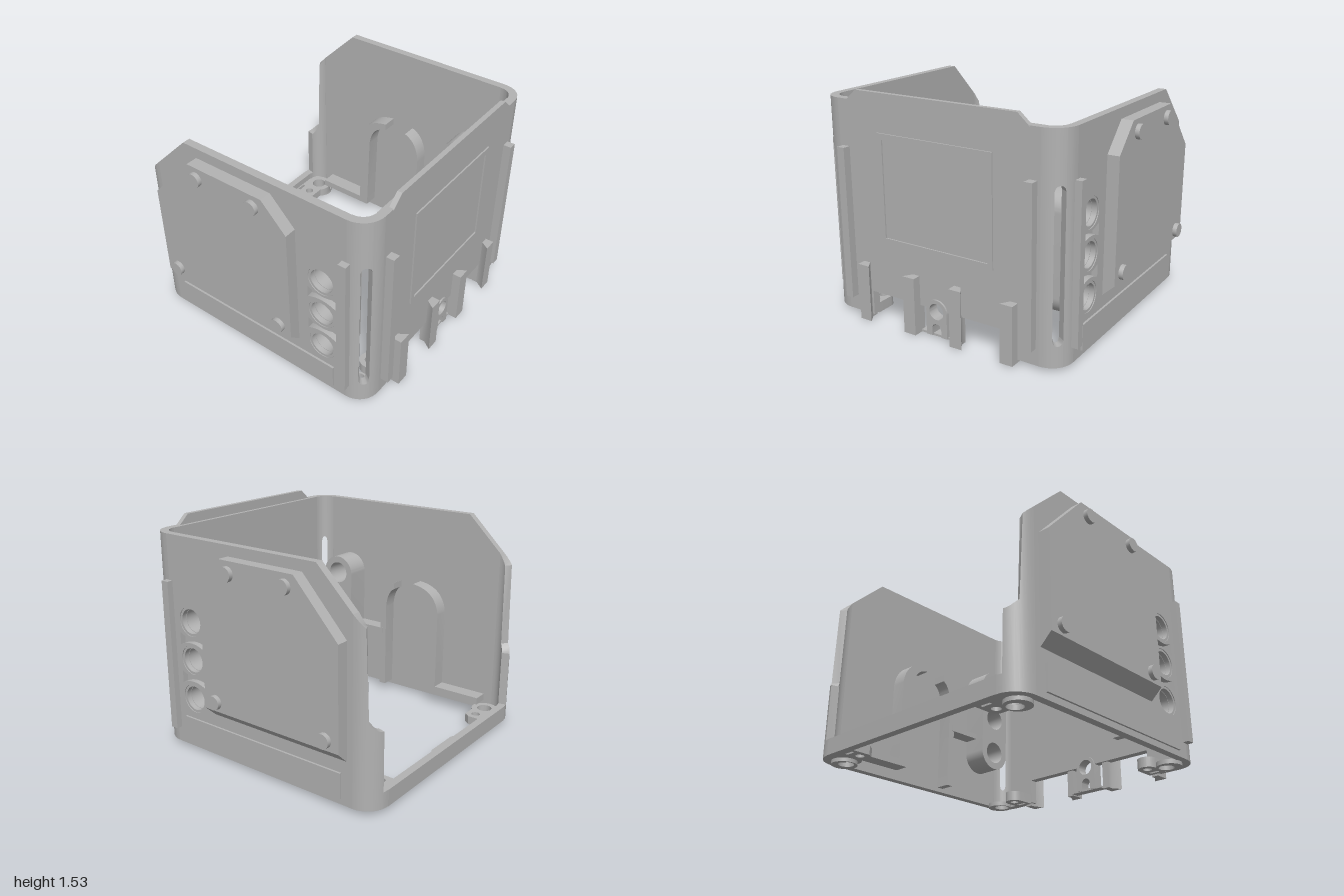
import * as THREE from 'three';
import { mergeVertices, toCreasedNormals } from 'three/addons/utils/BufferGeometryUtils.js';

const grey = new THREE.MeshStandardMaterial({ color: 0xb2b2b2 });
grey.name = 'grey';

const poly = (pts) => new THREE.Shape(pts.map(([x, y]) => new THREE.Vector2(x, y)));
const circle = (x, y, r) => new THREE.Path().absarc(x, y, r, 0, Math.PI * 2, true);
const extrude = (shape, depth) =>
  new THREE.ExtrudeGeometry(shape, { depth, bevelEnabled: false, curveSegments: 20 });

// shape drawn in (x, y), running from z0 to z1
const frontSlab = (shape, z0, z1) => extrude(shape, z1 - z0).translate(0, 0, z0);
// shape drawn in (-z, y), running from x0 to x1
const sideSlab = (shape, x0, x1) => extrude(shape, x1 - x0).rotateY(Math.PI / 2).translate(x0, 0, 0);
// shape drawn in (x, -z), running from y0 to y1
const floorSlab = (shape, y0, y1) => extrude(shape, y1 - y0).rotateX(-Math.PI / 2).translate(0, y0, 0);
const box = (x0, x1, y0, y1, z0, z1) =>
  new THREE.BoxGeometry(x1 - x0, y1 - y0, z1 - z0).translate((x0 + x1) / 2, (y0 + y1) / 2, (z0 + z1) / 2);

// closed curved wall from stations [degrees, bottom, top]; dir is +1 for front, -1 for back
function cornerWall(cz, dir, stations) {
  const pos = [], idx = [], cx = 0.74;
  for (const [deg, y0, y1] of stations) {
    const a = THREE.MathUtils.degToRad(deg);
    for (const [r, y] of [[0.15, y0], [0.15, y1], [0.095, y1], [0.095, y0]])
      pos.push(cx + r * Math.cos(a), y, cz + dir * r * Math.sin(a));
  }
  const quad = (a, b, c, d) => (dir > 0 ? idx.push(a, b, c, a, c, d) : idx.push(a, c, b, a, d, c));
  const n = stations.length - 1;
  for (let i = 0; i < n; i++)
    for (let k = 0; k < 4; k++) {
      const l = (k + 1) % 4;
      quad(i * 4 + k, i * 4 + l, i * 4 + 4 + l, i * 4 + 4 + k);
    }
  quad(3, 2, 1, 0);
  quad(n * 4, n * 4 + 1, n * 4 + 2, n * 4 + 3);
  const g = new THREE.BufferGeometry();
  g.setAttribute('position', new THREE.Float32BufferAttribute(pos, 3));
  g.setIndex(idx);
  return g;
}

function mirrored(geometry) {
  const g = geometry.clone().scale(-1, 1, 1);
  for (const name of ['position', 'normal']) {
    const a = g.attributes[name].array;
    for (let i = 0; i < a.length; i += 9)
      for (let k = 3; k < 6; k++) [a[i + k], a[i + k + 3]] = [a[i + k + 3], a[i + k]];
  }
  return g;
}

export function createModel() {
  const model = new THREE.Group();
  model.name = 'housing';
  const finish = (g) => {
    g.deleteAttribute('uv');
    g.deleteAttribute('normal');
    return toCreasedNormals(mergeVertices(g, 1e-5), 0.6);
  };
  const place = (name, g) => {
    const m = new THREE.Mesh(g, grey);
    m.name = name;
    model.add(m);
  };
  const add = (name, g) => place(name, finish(g));
  const pair = (name, g) => {
    const f = finish(g);
    place('left' + name, f);
    place('right' + name, mirrored(f));
  };

  // front wall with a low cut-out, raised top lip and framed panel
  add('frontWall', frontSlab(poly([
    [-0.74, 0.03], [-0.53, 0.03], [-0.53, 0.2], [-0.055, 0.2], [-0.055, 0.248], [0.055, 0.248],
    [0.055, 0.2], [0.53, 0.2], [0.53, 0.03], [0.74, 0.03], [0.74, 1.475], [-0.74, 1.475]]), 0.803, 0.86));
  add('frontTopLip', frontSlab(poly([
    [-0.67, 1.47], [0.67, 1.47], [0.59, 1.54], [-0.59, 1.54]]), 0.83, 0.863));
  const frame = poly([[-0.425, 0.57], [0.425, 0.57], [0.425, 1.29], [-0.425, 1.29]]);
  frame.holes.push(poly([[-0.39, 0.605], [-0.39, 1.25], [0.39, 1.25], [0.39, 0.605]]));
  add('frontPanelFrame', frontSlab(frame, 0.858, 0.87));

  // arched boss with a round hole and a slot under it
  const boss = poly([[0.035, 0.02], [0.08, 0.02], [0.08, 0.19]]);
  boss.absarc(0, 0.19, 0.08, 0, Math.PI, false);
  boss.lineTo(-0.08, 0.02);
  boss.lineTo(-0.035, 0.02);
  boss.lineTo(-0.035, 0.07);
  boss.absarc(0, 0.07, 0.035, Math.PI, 0, true);
  boss.holes.push(circle(0, 0.19, 0.055));
  add('centreBoss', frontSlab(boss, 0.795, 0.872));
  add('centreSill', box(-0.13, 0.13, 0.015, 0.03, 0.8, 0.86));

  // dovetail tabs and vertical rails
  pair('OuterTab', floorSlab(poly([
    [0.595, -0.82], [0.545, -0.82], [0.545, -0.86], [0.505, -0.92], [0.595, -0.92]]), 0.01, 0.4));
  pair('InnerTab', floorSlab(poly([
    [0.135, -0.82], [0.135, -0.92], [0.225, -0.92], [0.185, -0.86], [0.185, -0.82]]), 0.01, 0.4));
  pair('FrontRail', box(0.665, 0.72, 0.14, 1.17, 0.85, 0.915));
  pair('SideRail', box(0.88, 0.932, 0.14, 1.17, 0.68, 0.735));

  // side walls with three round ports and waisted recesses between them
  const ports = [0.385, 0.655, 0.92];
  const side = poly([[-0.71, 0.03], [0.765, 0.03], [0.765, 1.225], [0.51, 1.475], [-0.71, 1.475]]);
  for (const y of ports) side.holes.push(circle(-0.53, y, 0.1));
  for (const y of [0.52, 0.788]) {
    const waist = new THREE.Path();
    waist.moveTo(-0.635, y - 0.042);
    waist.lineTo(-0.635, y + 0.042);
    waist.quadraticCurveTo(-0.53, y - 0.01, -0.425, y + 0.042);
    waist.lineTo(-0.425, y - 0.042);
    waist.quadraticCurveTo(-0.53, y + 0.01, -0.635, y - 0.042);
    side.holes.push(waist);
  }
  pair('SideWall', sideSlab(side, 0.837, 0.89));

  // inner port blocks
  const block = new THREE.Shape();
  block.absarc(-0.53, 0.92, 0.128, 0, Math.PI, false);
  block.absarc(-0.53, 0.385, 0.128, Math.PI, Math.PI * 2, false);
  block.closePath();
  for (const y of ports) block.holes.push(circle(-0.53, y, 0.08));
  pair('PortBlock', sideSlab(block, 0.662, 0.85));
  for (const y of ports) {
    const rim = new THREE.Shape().absarc(-0.53, y, 0.103, 0, Math.PI * 2, false);
    rim.holes.push(circle(-0.53, y, 0.083));
    pair('PortRim', sideSlab(rim, 0.845, 0.885));
  }

  // front corners with a tall rounded slot
  const slot = [], steps = 10;
  for (let i = 0; i <= steps; i++) {
    const t = (i / steps) * 2 - 1;
    slot.push([46 + 13 * t, 0.455 + 0.035 * Math.sqrt(1 - t * t)]);
  }
  pair('CornerSide', cornerWall(0.71, 1, [0, 11, 22, 33].map((a) => [a, 0.03, 1.475])));
  pair('CornerBelowSlot', cornerWall(0.71, 1, slot.map(([a, h]) => [a, 0.03, 0.66 - h])));
  pair('CornerAboveSlot', cornerWall(0.71, 1, slot.map(([a, h]) => [a, 0.66 + h, 1.475])));
  pair('CornerFront', cornerWall(0.71, 1, [59, 69, 80, 90].map((a) => [a, 0.03, 1.475])));

  // rear corners stepping down to the back bar
  pair('RearCorner', cornerWall(-0.765, -1, [
    [0, 1.225], [10, 1.2], [20, 1.175], [30, 1.15], [38, 0.58], [48, 0.56], [58, 0.54],
    [68, 0.53], [74, 0.53], [75, 0.14], [83, 0.14], [90, 0.14]].map(([a, h]) => [a, 0.03, h])));
  add('backBar', box(-0.74, 0.74, 0.03, 0.14, -0.917, -0.865));
  add('backBarCatch', floorSlab(poly([
    [-0.17, 0.87], [-0.125, 0.835], [0.125, 0.835], [0.17, 0.87]]), 0.06, 0.12));

  // clipped side cover with a sloped lower edge
  const cover = sideSlab(poly([
    [-0.345, 0.32], [0.725, 0.32], [0.725, 1.065], [0.41, 1.405], [-0.17, 1.405], [-0.345, 1.225]]), 0.885, 0.97);
  const p = cover.attributes.position;
  for (let i = 0; i < p.count; i++) if (p.getX(i) > 0.95 && p.getY(i) < 0.33) p.setY(i, 0.4);
  pair('SideCover', cover);
  for (const [z, y] of [[0.1, 1.325], [-0.345, 1.325], [0.25, 0.465], [-0.625, 0.465]])
    pair('CoverBolt', new THREE.CylinderGeometry(0.048, 0.048, 0.04, 24).rotateZ(Math.PI / 2).translate(0.98, y, z));
  pair('LowerStrip', box(0.88, 0.904, 0.07, 0.24, -0.685, 0.62));

  // inner curved brackets, their foot and the web to the port block
  const rearLeg = poly([[0.34, 0.1], [0.34, 0.72]]);
  rearLeg.quadraticCurveTo(0.32, 0.9, 0.12, 0.92);
  rearLeg.lineTo(0.12, 0.87);
  rearLeg.quadraticCurveTo(0.24, 0.86, 0.26, 0.7);
  rearLeg.lineTo(0.27, 0.1);
  pair('RearBracket', sideSlab(rearLeg, 0.73, 0.845));
  const frontLeg = poly([[-0.17, 0.06], [-0.17, 0.7]]);
  frontLeg.quadraticCurveTo(-0.16, 0.86, -0.05, 0.9);
  frontLeg.lineTo(-0.05, 0.85);
  frontLeg.quadraticCurveTo(-0.11, 0.82, -0.12, 0.7);
  frontLeg.lineTo(-0.12, 0.06);
  pair('FrontBracket', sideSlab(frontLeg, 0.735, 0.845));
  pair('BracketFoot', box(0.73, 0.845, 0.1, 0.15, -0.7, -0.27));
  pair('BracketWeb', box(0.73, 0.845, 0.48, 0.52, 0.15, 0.42));

  // screw lugs on the floor
  const frontLug = poly([[0.535, -0.81], [0.665, -0.81], [0.665, -0.69]]);
  frontLug.absarc(0.6, -0.69, 0.065, 0, Math.PI, false);
  frontLug.holes.push(circle(0.6, -0.69, 0.03));
  frontLug.holes.push(poly([[0.565, -0.78], [0.565, -0.755], [0.635, -0.755], [0.635, -0.78]]));
  pair('FrontLug', floorSlab(frontLug, 0.02, 0.09));
  const rearLug = poly([[0.535, 0.87], [0.535, 0.74], [0.565, 0.7], [0.66, 0.7]]);
  rearLug.absarc(0.73, 0.765, 0.092, -2.35, 0.5, false);
  rearLug.lineTo(0.8, 0.87);
  rearLug.holes.push(circle(0.6, 0.765, 0.03));
  rearLug.holes.push(circle(0.73, 0.765, 0.052));
  rearLug.holes.push(poly([[0.565, 0.835], [0.565, 0.855], [0.635, 0.855], [0.635, 0.835]]));
  pair('RearLug', floorSlab(rearLug, 0.03, 0.09));

  // low feet under the corners
  for (const z of [0.7, -0.765]) {
    const foot = new THREE.Shape().absarc(0.76, -z, 0.085, 0, Math.PI * 2, false);
    foot.holes.push(circle(0.74, -z, 0.052));
    pair('Foot', floorSlab(foot, 0.005, 0.035));
  }
  return model;
}
